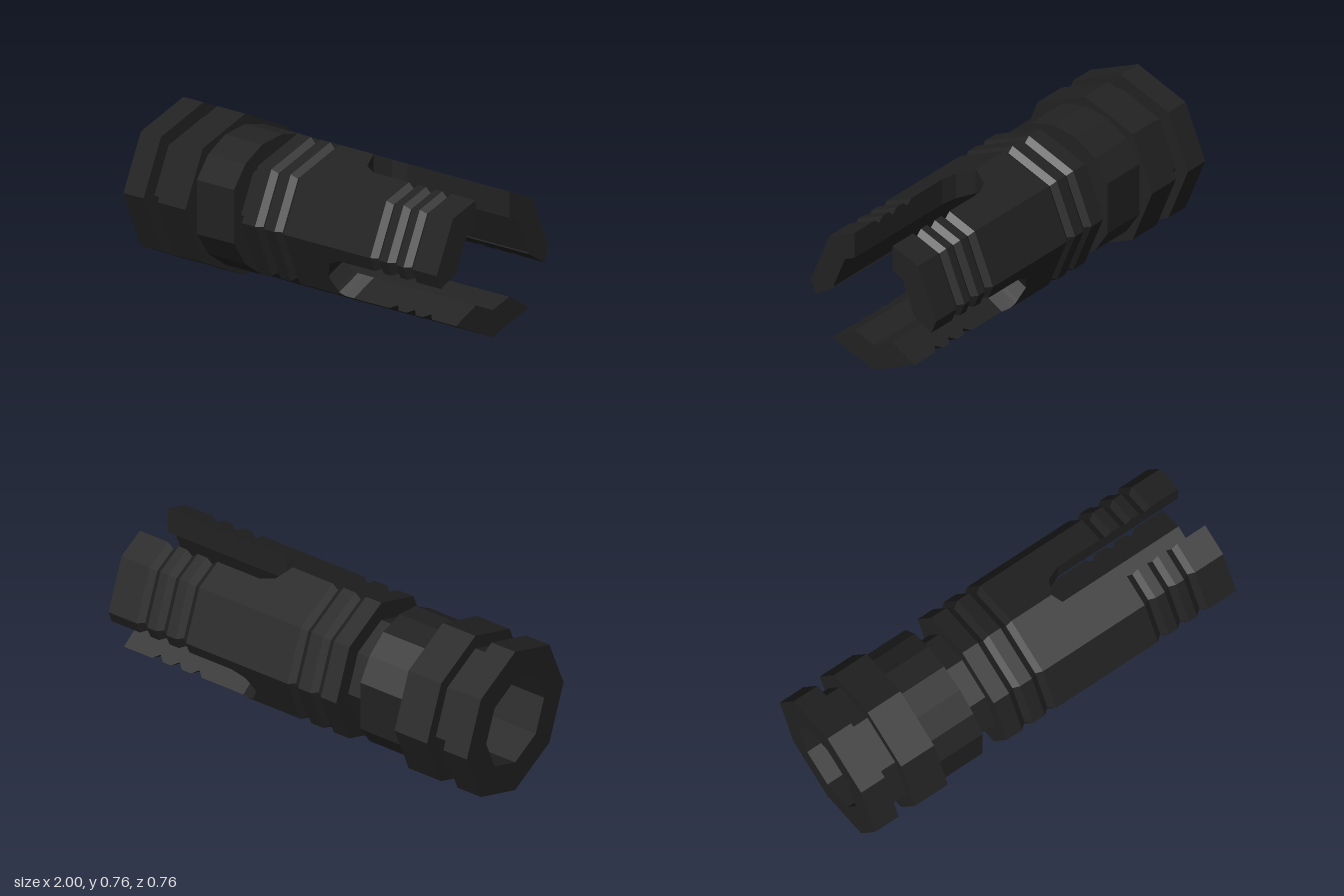
import * as THREE from 'three';
import { toCreasedNormals } from 'three/addons/utils/BufferGeometryUtils.js';

const CY = 0.378;      // height of the long axis
const BORE = 0.227;    // corner radius of the octagonal bore
const BARREL = 0.353;  // corner radius of the barrel
const DEG = Math.PI / 180;

// Octagonal surface turned about the x axis; points are [x, radius]
function turned(points) {
  const g = new THREE.LatheGeometry(points.map(([x, r]) => new THREE.Vector2(r, x)), 8);
  return g.rotateZ(-Math.PI / 2);
}

// V-shaped groove cut in the barrel around x
const groove = (x) => [[x - 0.03, BARREL], [x, BARREL - 0.025], [x + 0.03, BARREL]];

// Point on an octagon of corner radius R at an angle in degrees
function octRadius(R, deg) {
  const local = (((deg % 45) + 45) % 45) - 22.5;
  return (R * Math.cos(22.5 * DEG)) / Math.cos(local * DEG);
}

// Angle where a slot edge, offset h from the slot's middle plane, meets the octagon
function slotEdge(R, slot, side, h) {
  let a = slot + side * 0.001;
  for (let i = 0; i < 25; i++) a = slot + side * Math.asin(h / octRadius(R, a)) / DEG;
  return a;
}

// Stations along a prong: [x, outer radius, half width of slot]
const W = 0.107;
const stations = [
  [0.23, BARREL, 0], [0.26, BARREL, 0.059], [0.27, BARREL, 0.078],
  [0.301, BARREL, 0.091], [0.34, BARREL, W],
  ...[0.6, 0.71, 0.815].flatMap(groove).map(([x, r]) => [x, r, W]),
  [1, BARREL, W],
];

// Barrel wall between two slots
function prongGeometry(from, to, corners) {
  const arc = (x, R, h) => {
    const lo = slotEdge(R, from, 1, h), hi = slotEdge(R, to, -1, h);
    return [lo, ...corners, hi].map((c) => {
      const a = Math.min(hi, Math.max(lo, c)), r = octRadius(R, a);
      return [x, r * Math.sin(a * DEG), r * Math.cos(a * DEG)];
    });
  };
  const rings = stations.map(([x, R, h]) => [...arc(x, R, h), ...arc(x, BORE, h).reverse()]);
  const pos = [];
  const quad = (a, b, c, d) => pos.push(...a, ...b, ...c, ...a, ...c, ...d);
  const n = rings[0].length;
  for (let i = 0; i < rings.length - 1; i++) {
    for (let j = 0; j < n; j++) {
      const k = (j + 1) % n;
      quad(rings[i][j], rings[i + 1][j], rings[i + 1][k], rings[i][k]);
    }
  }
  // muzzle end face
  const end = rings[rings.length - 1];
  for (let j = 0; j < n / 2 - 1; j++) quad(end[j], end[n - 1 - j], end[n - 2 - j], end[j + 1]);
  const g = new THREE.BufferGeometry();
  g.setAttribute('position', new THREE.Float32BufferAttribute(pos, 3));
  g.computeVertexNormals();
  return g;
}

// Round collar with a wrench flat on the front and back
function wrenchCollarGeometry() {
  const ring = (R, skip, count) => {
    const pts = [];
    for (let i = 0; i < count; i++) {
      if (skip && i % (count / 2) === 0) continue;
      const a = (i / count) * Math.PI * 2;
      pts.push(new THREE.Vector2(R * Math.cos(a), R * Math.sin(a)));
    }
    return pts;
  };
  const shape = new THREE.Shape(ring(0.33, true, 16));
  shape.holes.push(new THREE.Path(ring(BORE, false, 8)));
  const g = new THREE.ExtrudeGeometry(shape, { depth: 0.24, bevelEnabled: false });
  g.rotateY(Math.PI / 2).translate(-0.6, 0, 0);
  return toCreasedNormals(g, 30 * DEG);
}

export function createModel() {
  const flat = new THREE.MeshStandardMaterial({ color: 0x222222, flatShading: true });
  flat.name = 'blackSteel';

  const model = new THREE.Group();
  model.name = 'slottedMuzzleDevice';
  const body = new THREE.Group();
  body.name = 'body';
  body.position.y = CY;
  model.add(body);
  const add = (name, geometry) => {
    const mesh = new THREE.Mesh(geometry, flat);
    mesh.name = name;
    body.add(mesh);
  };

  add('rearCollar', turned([
    [-1, BORE], [-1, 0.378], [-0.87, 0.378], [-0.87, 0.31],
    [-0.78, 0.31], [-0.78, 0.378], [-0.6, 0.378], [-0.6, BORE],
  ]));
  add('wrenchCollar', wrenchCollarGeometry());
  add('neck', turned([[-0.36, 0.26], [-0.26, 0.26]]));
  add('barrel', turned([
    [-0.26, BORE], [-0.26, BARREL], ...groove(-0.145), ...groove(-0.02), [0.23, BARREL],
  ]));
  add('bore', turned([[0.23, BORE], [-1, BORE]]));

  // three prongs separated by the slots at 90, 210 and 330 degrees
  add('frontProng', prongGeometry(-30, 90, [0, 45]));
  add('backProng', prongGeometry(90, 210, [135, 180]));
  add('lowerProng', prongGeometry(210, 330, [225, 270, 315]));

  return model;
}
